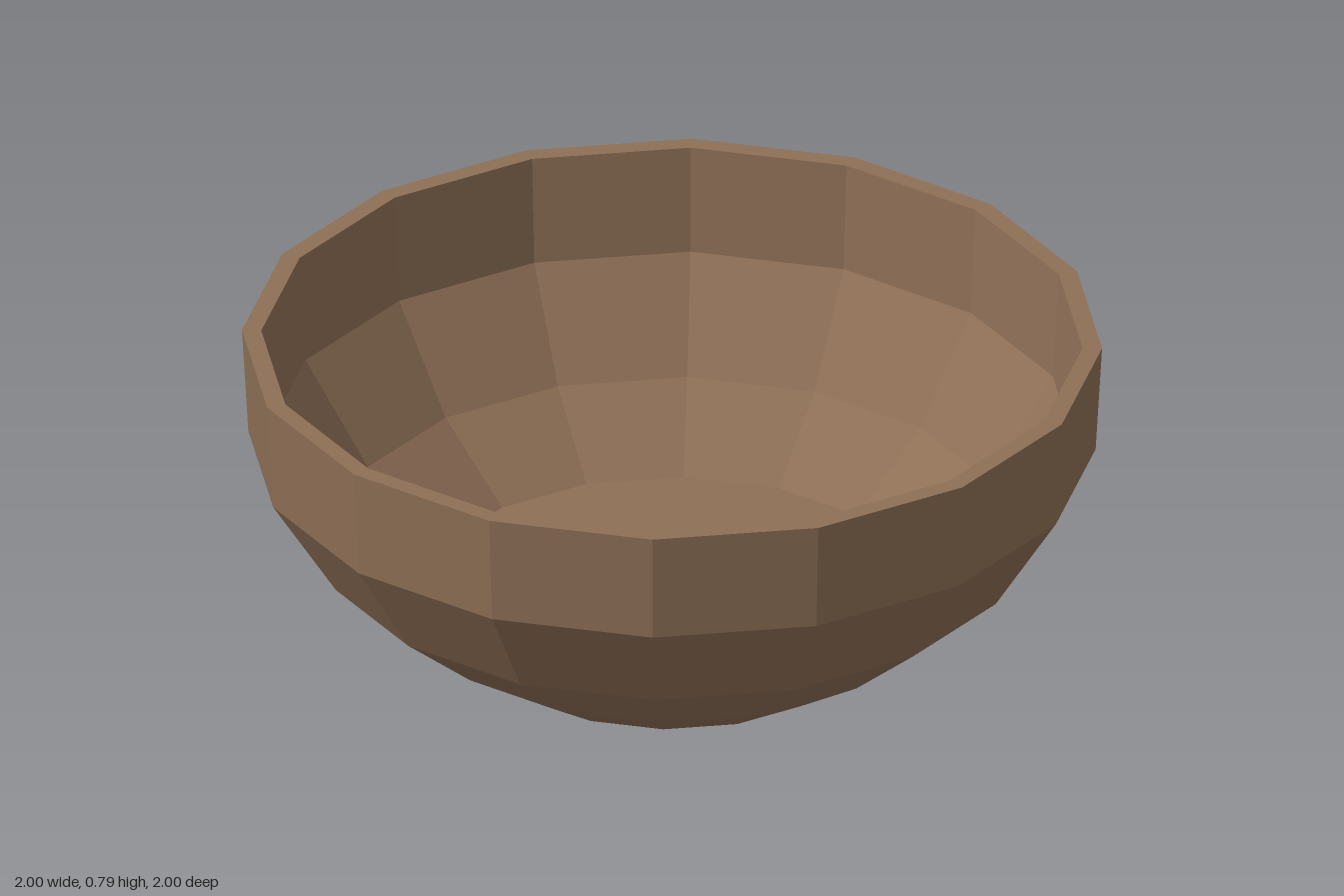
import * as THREE from 'three';

const SIDES = 16;

export function createModel() {
  const model = new THREE.Group();
  model.name = 'bowl';

  const wood = new THREE.MeshStandardMaterial({ color: 0x8e6f56, flatShading: true });
  wood.name = 'brown wood';

  // Revolves a profile of [radius, height] points into a faceted surface
  const addRing = (name, profile) => {
    const points = profile.map(([r, y]) => new THREE.Vector2(r, y));
    const mesh = new THREE.Mesh(new THREE.LatheGeometry(points, SIDES), wood);
    mesh.name = name;
    model.add(mesh);
  };

  // Outside: flat base, curved belly, nearly upright wall
  addRing('outerWall', [[0, 0], [0.445, 0], [0.635, 0.12], [0.83, 0.28], [0.985, 0.525], [1, 0.79]]);
  // Flat lip joining the two walls
  addRing('rim', [[1, 0.79], [0.955, 0.79]]);
  // Inside: follows the outer wall down to a flat floor
  addRing('innerWall', [[0.955, 0.79], [0.94, 0.525], [0.78, 0.28], [0.585, 0.12]]);
  addRing('floor', [[0.585, 0.12], [0, 0.12]]);

  return model;
}
